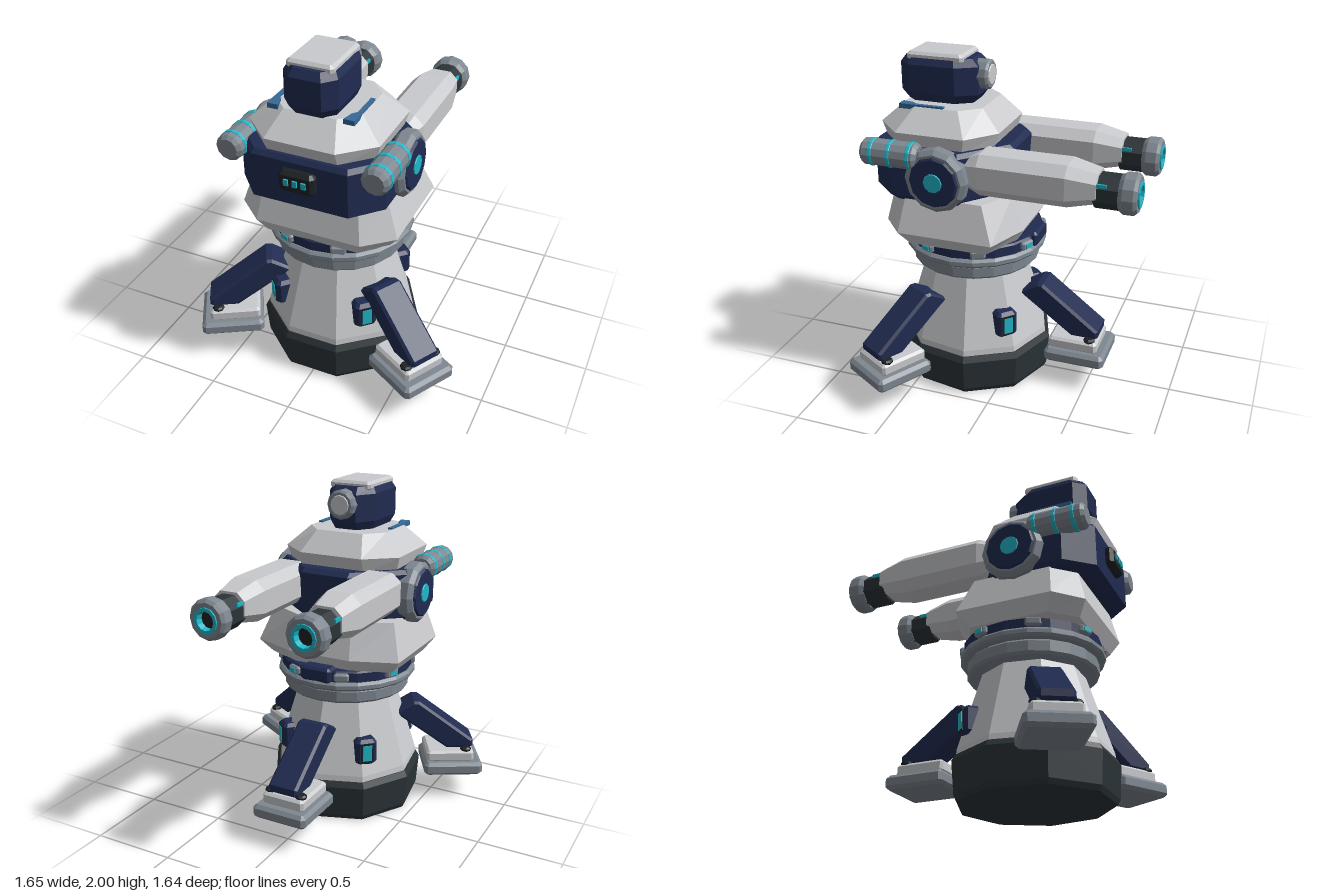
import * as THREE from 'three';

const mat = (name, color) => {
  const m = new THREE.MeshStandardMaterial({ color });
  m.name = name;
  return m;
};

export function createModel() {
  const light = mat('light armour', 0xc9cacd);
  const grey = mat('grey metal', 0x7e8790);
  const navy = mat('navy armour', 0x202b50);
  const dark = mat('dark base', 0x2b3337);
  const black = mat('black trim', 0x1c2124);
  const teal = mat('teal glow', 0x20b6c8);
  const blue = mat('blue strip', 0x366a98);
  const root = new THREE.Group();

  const add = (parent, name, geo, material, x = 0, y = 0, z = 0) => {
    const mesh = new THREE.Mesh(geo, material);
    mesh.name = name;
    mesh.position.set(x, y, z);
    parent.add(mesh);
    return mesh;
  };
  const faceted = (geo) => {
    const g = geo.index ? geo.toNonIndexed() : geo;
    g.computeVertexNormals();
    return g;
  };

  // Eight-cornered cross-sections stacked along y:
  // [y, halfX, frontZ, backZ, frontEdgeHalfX, frontCornerZ, backEdgeHalfX, backCornerZ]
  const loft = (sections) => {
    const pos = [], idx = [], last = (sections.length - 1) * 8;
    for (const [y, hx, zf, zb, fx, fz, bx, bz] of sections) {
      pos.push(fx, y, zf, hx, y, fz, hx, y, bz, bx, y, zb, -bx, y, zb, -hx, y, bz, -hx, y, fz, -fx, y, zf);
    }
    for (let s = 0; s < last; s += 8) {
      for (let i = 0; i < 8; i++) {
        const a = s + i, b = s + (i + 1) % 8;
        idx.push(a, b, b + 8, a, b + 8, a + 8);
      }
    }
    for (let i = 1; i < 7; i++) idx.push(0, i + 1, i, last, last + i, last + i + 1);
    const g = new THREE.BufferGeometry();
    g.setAttribute('position', new THREE.Float32BufferAttribute(pos, 3));
    g.setIndex(idx);
    return faceted(g);
  };
  // Symmetric section: half width, half depth, corner cut
  const sec = (y, hx, hz, c) => [y, hx, hz, -hz, hx - c, hz - c, hx - c, -hz + c];
  const bevelBox = (w, h, d, b) => loft([
    sec(-h / 2, w / 2 - b, d / 2 - b, b / 2), sec(-h / 2 + b, w / 2, d / 2, b),
    sec(h / 2 - b, w / 2, d / 2, b), sec(h / 2, w / 2 - b, d / 2 - b, b / 2),
  ]);
  const lathe = (profile, sides) =>
    faceted(new THREE.LatheGeometry(profile.map(([r, y]) => new THREE.Vector2(r, y)), sides));
  // Solid disc with chamfered rims
  const drum = (r, y0, y1, b, sides) =>
    lathe([[0, y0], [r - b, y0], [r, y0 + b], [r, y1 - b], [r - b, y1], [0, y1]], sides);
  const alongX = (g, s) => g.rotateZ(-s * Math.PI / 2);
  const alongZ = (g, s = 1) => g.rotateX(s * Math.PI / 2);

  // Pedestal, centred behind the front of the turret
  const pedestal = new THREE.Group();
  pedestal.name = 'pedestal';
  pedestal.position.z = 0.25;
  root.add(pedestal);
  add(pedestal, 'baseBlock', lathe([[0, 0], [0.445, 0], [0.46, 0.03], [0.475, 0.22], [0.455, 0.255], [0, 0.255]], 9).rotateY(Math.PI), dark);
  add(pedestal, 'column', lathe([[0.45, 0.25], [0.445, 0.29], [0.3, 0.76]], 9).rotateY(Math.PI), light);
  add(pedestal, 'lowerRing', drum(0.385, 0.745, 0.835, 0.015, 20), grey);
  add(pedestal, 'upperRing', drum(0.425, 0.835, 0.888, 0.015, 20), grey);
  add(pedestal, 'turntable', drum(0.405, 0.88, 0.955, 0.01, 20), navy);
  add(pedestal, 'rearLatch', bevelBox(0.2, 0.09, 0.1, 0.015), navy, 0, 0.925, -0.37);

  // Ring clips, every second one lit
  for (let i = 0; i < 8; i++) {
    const clip = new THREE.Group();
    clip.name = 'ringClip';
    clip.rotation.y = (i + 0.5) * Math.PI / 4;
    pedestal.add(clip);
    add(clip, 'clipBlock', bevelBox(0.09, 0.05, 0.05, 0.01), grey, 0, 0.92, 0.4);
    if (i % 2) add(clip, 'clipLight', new THREE.BoxGeometry(0.05, 0.026, 0.008), teal, 0, 0.92, 0.426);
  }

  // Three braced legs
  const strut = new THREE.Shape([[0.3, 0.56], [0.355, 0.52], [0.64, 0.312], [0.79, 0.312], [0.807, 0.325],
    [0.807, 0.365], [0.455, 0.632], [0.42, 0.632]].map(([r, y]) => new THREE.Vector2(r, y)));
  const strutGeo = faceted(new THREE.ExtrudeGeometry(strut, {
    depth: 0.16, bevelThickness: 0.015, bevelSize: 0.015, bevelOffset: -0.015, bevelSegments: 1,
  }).translate(0, 0, -0.08).rotateY(-Math.PI / 2));
  for (const angle of [60, 180, 300]) {
    const leg = new THREE.Group();
    leg.name = 'leg';
    leg.rotation.y = THREE.MathUtils.degToRad(angle);
    pedestal.add(leg);
    add(leg, 'footPad', bevelBox(0.35, 0.085, 0.37, 0.02), grey, 0, 0.195, 0.678);
    add(leg, 'footPlate', bevelBox(0.27, 0.075, 0.3, 0.015), light, 0, 0.268, 0.66);
    add(leg, 'strut', strutGeo, navy);
    for (const s of [-1, 1]) add(leg, 'footBolt', drum(0.035, 0.295, 0.325, 0.01, 8), black, s * 0.1, 0, 0.76);
  }

  // Lit panels on the column
  for (const angle of [44, 136, 224, 316]) {
    const panel = new THREE.Group();
    panel.name = 'columnPanel';
    panel.rotation.y = THREE.MathUtils.degToRad(angle);
    pedestal.add(panel);
    add(panel, 'panelHousing', bevelBox(0.13, 0.165, 0.11, 0.02), navy, 0, 0.44, 0.378);
    add(panel, 'panelFrame', new THREE.BoxGeometry(0.078, 0.125, 0.006), black, 0, 0.44, 0.434);
    add(panel, 'panelLight', new THREE.BoxGeometry(0.056, 0.1, 0.008), teal, 0, 0.44, 0.437);
  }

  // Turret body: skirt, band and dome
  add(root, 'skirt', loft([
    [0.945, 0.41, 0.64, -0.07, 0.27, 0.5, 0.18, 0.04],
    [1.03, 0.47, 0.69, -0.12, 0.31, 0.55, 0.2, -0.02],
    [1.24, 0.4, 0.64, -0.05, 0.28, 0.52, 0.18, 0.06],
  ]), light);
  add(root, 'band', loft([
    [1.215, 0.4, 0.68, -0.01, 0.26, 0.56, 0.14, 0.2],
    [1.245, 0.42, 0.755, -0.03, 0.275, 0.6, 0.15, 0.19],
    [1.5, 0.42, 0.755, -0.05, 0.275, 0.6, 0.15, 0.19],
    [1.525, 0.4, 0.735, -0.02, 0.265, 0.59, 0.15, 0.2],
  ]), navy);
  add(root, 'dome', loft([
    [1.51, 0.35, 0.71, 0.06, 0.2, 0.56, 0.2, 0.19],
    [1.6, 0.375, 0.745, 0.025, 0.2, 0.58, 0.2, 0.17],
    [1.72, 0.25, 0.61, 0.14, 0.15, 0.51, 0.15, 0.25],
  ]), light);

  // Head with top plate and rear lens
  add(root, 'head', loft([
    [1.715, 0.13, 0.62, 0.23, 0.075, 0.56, 0.07, 0.32],
    [1.77, 0.153, 0.66, 0.19, 0.09, 0.59, 0.08, 0.31],
    [1.93, 0.153, 0.66, 0.19, 0.09, 0.59, 0.08, 0.31],
    [1.972, 0.13, 0.63, 0.23, 0.075, 0.57, 0.07, 0.32],
  ]), navy);
  add(root, 'headPlate', bevelBox(0.265, 0.055, 0.34, 0.016), light, 0, 1.9725, 0.437);
  add(root, 'rearLens', alongZ(drum(0.087, 0, 0.12, 0.012, 12), -1), grey, 0, 1.875, 0.26);
  add(root, 'lensCap', alongZ(drum(0.06, 0, 0.02, 0.005, 12), -1), light, 0, 1.875, 0.155);

  // Front vent
  add(root, 'vent', bevelBox(0.205, 0.125, 0.07, 0.02), black, 0, 1.403, 0.765);
  for (const x of [-0.05, 0, 0.05]) add(root, 'ventLight', new THREE.BoxGeometry(0.026, 0.036, 0.016), teal, x, 1.408, 0.802);

  // Arm cross-sections, lofted along -z
  const armGeo = loft([
    sec(-0.2, 0.08, 0.07, 0.03), sec(-0.08, 0.128, 0.12, 0.055), sec(0.42, 0.128, 0.12, 0.055), sec(0.585, 0.1, 0.085, 0.045),
  ]).rotateX(-Math.PI / 2);

  for (const s of [-1, 1]) {
    const side = new THREE.Group();
    side.name = s > 0 ? 'leftSide' : 'rightSide';
    root.add(side);

    // Dome strip
    const strip = new THREE.Shape([[0.247, 0.34], [0.247, 0.608], [0.185, 0.608], [0.2, 0.54], [0.222, 0.51], [0.222, 0.34]]
      .map(([x, z]) => new THREE.Vector2(s * x, z)));
    add(side, 'domeStrip', faceted(new THREE.ExtrudeGeometry(strip, { depth: 0.028, bevelEnabled: false }).rotateX(Math.PI / 2)), blue, 0, 1.73, 0);

    // Shoulder joint
    add(side, 'shoulderRing', alongX(drum(0.185, 0.36, 0.468, 0.025, 12), s), grey, 0, 1.37, 0.313);
    add(side, 'shoulderCap', alongX(drum(0.146, 0.44, 0.48, 0.01, 12), s), navy, 0, 1.37, 0.313);
    add(side, 'shoulderLight', alongX(drum(0.056, 0.47, 0.487, 0.003, 10), s), teal, 0, 1.37, 0.313);

    // Canister with lit bands
    add(side, 'canister', alongZ(drum(0.077, 0.415, 0.758, 0.02, 12)), grey, s * 0.415, 1.49, 0);
    for (const z of [0.46, 0.58, 0.69]) {
      add(side, 'canisterBand', alongZ(drum(0.081, z - 0.012, z + 0.012, 0.003, 12)), teal, s * 0.415, 1.49, 0);
    }

    // Gun arm, barrel and muzzle
    const gun = new THREE.Group();
    gun.name = 'gun';
    gun.position.set(s * 0.297, 1.41, 0);
    side.add(gun);
    add(gun, 'gunArm', armGeo, light);
    const barrel = new THREE.Group();
    barrel.name = 'barrel';
    barrel.position.y = -0.022;
    gun.add(barrel);
    add(barrel, 'barrelSleeve', alongZ(drum(0.1, 0.56, 0.72, 0.008, 8).rotateY(Math.PI / 8), -1), dark);
    add(barrel, 'muzzle', alongZ(lathe([[0, 0.7], [0.1, 0.7], [0.117, 0.725], [0.117, 0.785], [0.1, 0.803], [0.072, 0.803], [0.072, 0.75]], 12), -1), grey);
    add(barrel, 'muzzleGlow', alongZ(lathe([[0.074, 0.76], [0.074, 0.812], [0.054, 0.812], [0.05, 0.76]], 12), -1), teal);
    add(barrel, 'bore', alongZ(drum(0.055, 0.74, 0.77, 0.003, 12), -1), black);
    for (const t of [-1, 1]) add(barrel, 'barrelLight', new THREE.BoxGeometry(0.012, 0.02, 0.065), teal, t * 0.088, 0.055, -0.607);
  }
  return root;
}
